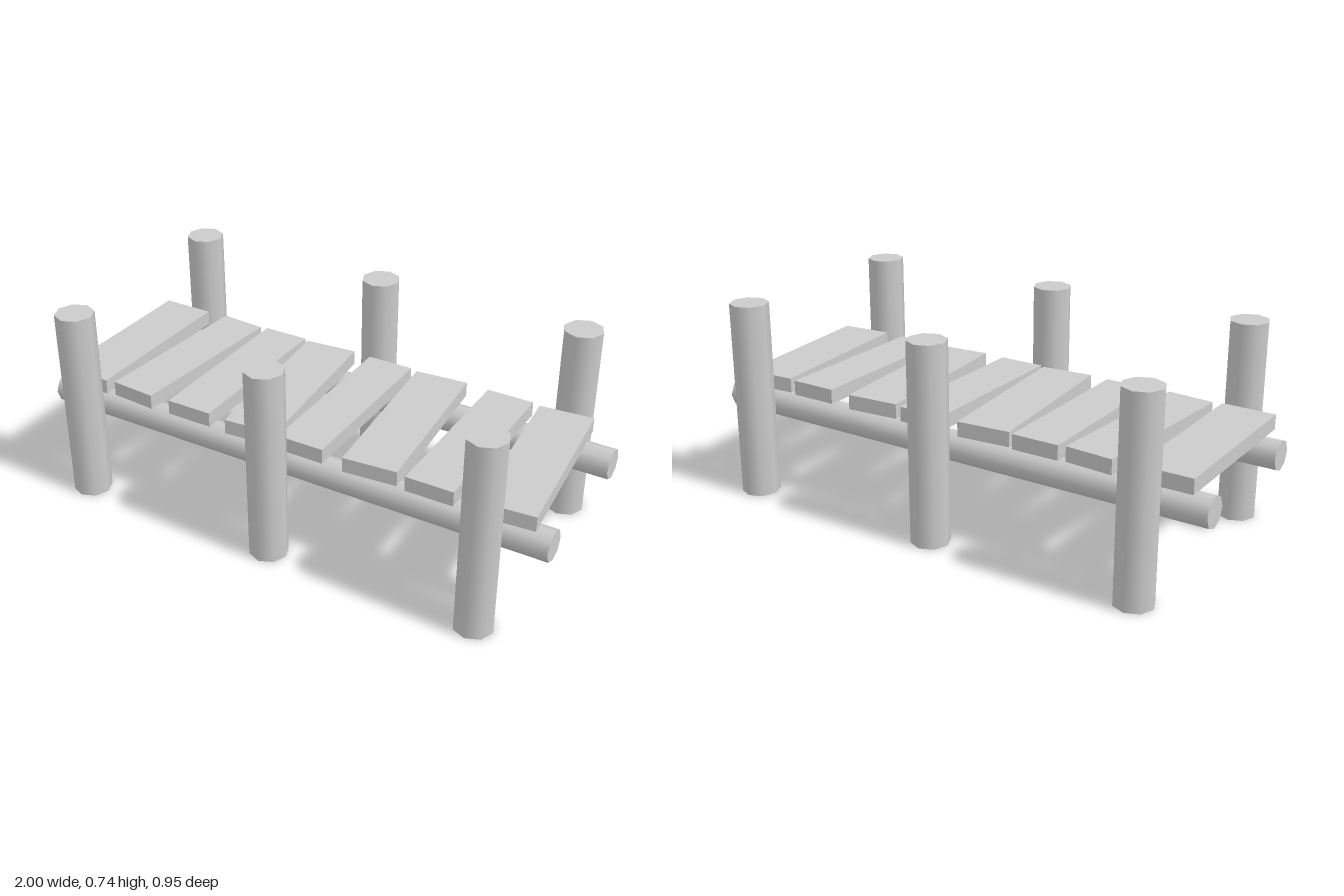
import * as THREE from 'three';
import { mergeGeometries } from 'three/addons/utils/BufferGeometryUtils.js';

const POST_R = 0.0715, POST_H = 0.74, LOG_R = 0.0565;

// Eight-sided post: smooth wall, capped top, open foot
function postGeometry() {
  const wall = new THREE.CylinderGeometry(POST_R, POST_R, POST_H, 8, 1, true);
  const cap = new THREE.CircleGeometry(POST_R, 8).rotateX(-Math.PI / 2).translate(0, POST_H / 2, 0);
  return mergeGeometries([wall, cap]).translate(0, POST_H / 2, 0);
}

export function createModel() {
  const model = new THREE.Group();
  const wood = new THREE.MeshStandardMaterial({ color: 0xcccccc });
  const postWood = new THREE.MeshStandardMaterial({ color: 0xcccccc, side: THREE.DoubleSide });

  const add = (name, geometry, material, x, y, z, turn = 0) => {
    const mesh = new THREE.Mesh(geometry, material);
    mesh.name = name;
    mesh.position.set(x, y, z);
    mesh.rotation.y = turn;
    model.add(mesh);
  };

  // Posts and long bearer logs, mirrored front to back
  const post = postGeometry();
  const log = new THREE.CylinderGeometry(LOG_R, LOG_R, 2, 8).rotateZ(Math.PI / 2);
  for (const [side, s] of [['front', 1], ['back', -1]]) {
    [-0.8, 0, 0.8].forEach((x, i) => add(`${side}Post${i + 1}`, post, postWood, x, 0, s * 0.4015));
    add(`${side}Log`, log, wood, 0, 0.32, s * 0.272);
  }

  // Deck planks: centre x, width, turn about the vertical
  const planks = [
    [-0.85, 0.2, 0], [-0.604, 0.177, -0.075], [-0.377, 0.177, 0], [-0.144, 0.2, 0.085],
    [0.088, 0.177, 0], [0.331, 0.2, 0.083], [0.58, 0.177, 0], [0.824, 0.2, 0.085],
  ];
  planks.forEach(([x, width, turn], i) =>
    add(`plank${i + 1}`, new THREE.BoxGeometry(width, 0.055, 0.655), wood, x, 0.415, 0, turn));

  return model;
}
